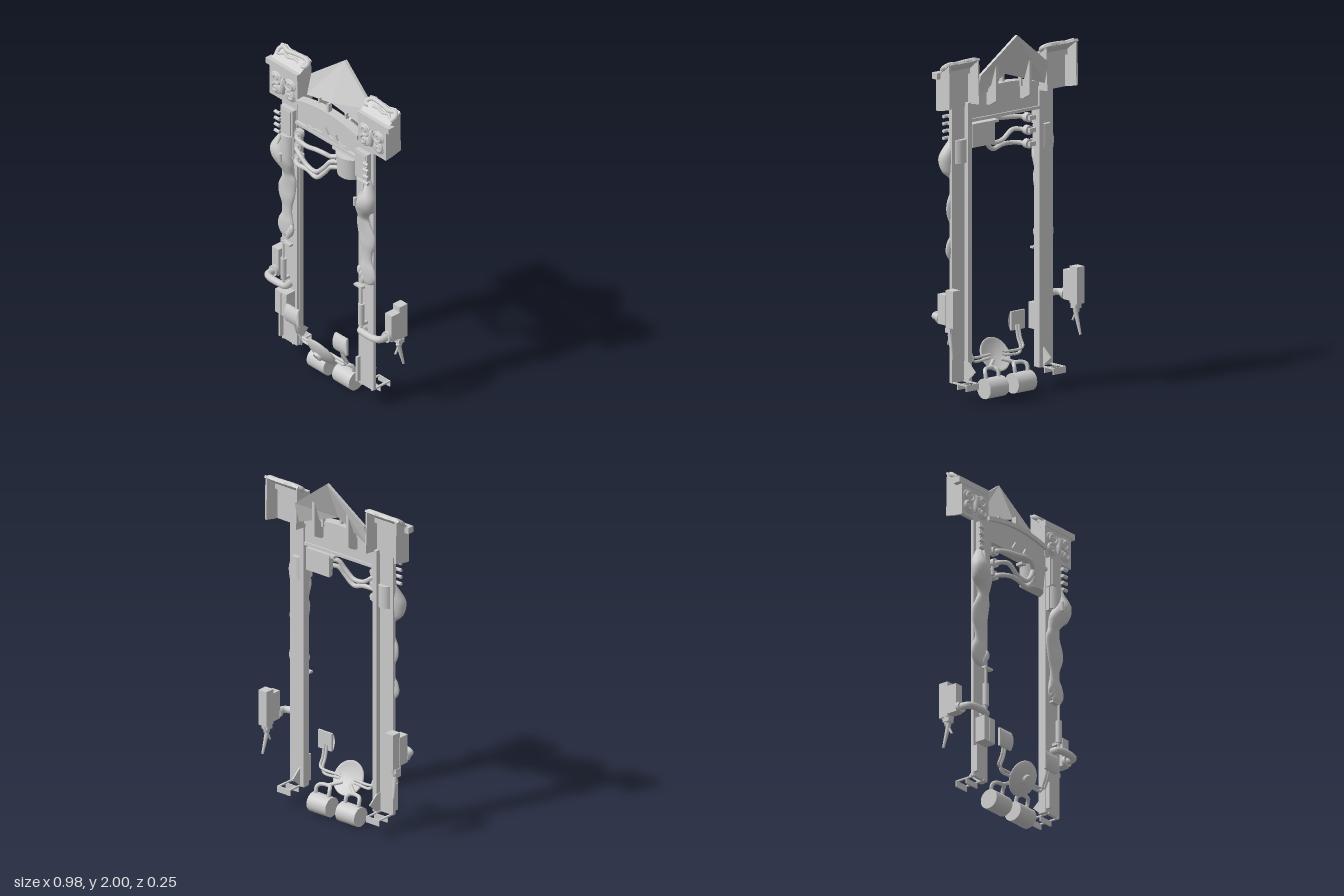
import * as THREE from 'three';

export function createModel() {
  const root = new THREE.Group();
  const mat = new THREE.MeshStandardMaterial({ color: 0xcccccc, side: THREE.DoubleSide });
  const V = (x, y, z) => new THREE.Vector3(x, y, z);

  const add = (name, geo, parent = root) => {
    const m = new THREE.Mesh(geo, mat);
    m.name = name;
    parent.add(m);
    return m;
  };
  // box from opposite corners, mirrored in x by s
  const box = (name, s, x0, x1, y0, y1, z0, z1, parent) => {
    const m = add(name, new THREE.BoxGeometry(x1 - x0, y1 - y0, z1 - z0), parent);
    m.position.set((s * (x0 + x1)) / 2, (y0 + y1) / 2, (z0 + z1) / 2);
    return m;
  };
  // cylinder between two points
  const rod = (name, a, b, r0, r1 = r0, sides = 16, parent) => {
    const m = add(name, new THREE.CylinderGeometry(r1, r0, a.distanceTo(b), sides), parent);
    m.position.copy(a).lerp(b, 0.5);
    m.quaternion.setFromUnitVectors(V(0, 1, 0), b.clone().sub(a).normalize());
    return m;
  };
  const tube = (name, pts, r, parent) =>
    add(name, new THREE.TubeGeometry(new THREE.CatmullRomCurve3(pts), pts.length * 6, r, 10), parent);
  const extrude = (name, pts, depth, parent) => add(name, new THREE.ExtrudeGeometry(
    new THREE.Shape(pts.map(p => new THREE.Vector2(...p))), { depth, bevelEnabled: false }), parent);
  // plate drawn in (z, y), with its thickness along x
  const sidePlate = (name, pts, x, t, parent) => {
    const m = extrude(name, pts.map(([z, y]) => [-z, y]), t, parent);
    m.rotation.y = Math.PI / 2;
    m.position.x = x - t / 2;
    return m;
  };
  // carved spiral scroll
  const scroll = (name, cx, cy, z, R, dir, start, r, parent) => {
    const pts = [];
    for (let i = 0; i <= 12; i++) {
      const a = start + dir * i * 0.6, q = R * (1 - i / 15);
      pts.push(V(cx + q * Math.cos(a), cy + q * Math.sin(a), z));
    }
    return tube(name, pts, r, parent);
  };
  const blob = (name, x, y, z, sx, sy, sz, parent) => {
    const m = add(name, new THREE.SphereGeometry(1, 20, 12), parent);
    m.position.set(x, y, z);
    m.scale.set(sx, sy, sz);
    return m;
  };

  // muscular carved relief: rows of [y, inner x, outer x, front z]
  const rows = [[1.465, .325, .338, .05], [1.41, .315, .375, .08], [1.355, .295, .402, .105], [1.31, .27, .402, .105],
    [1.27, .256, .388, .09], [1.235, .258, .35, .075], [1.2, .258, .335, .06], [1.164, .245, .35, .055],
    [1.1, .25, .381, .05], [1.04, .262, .38, .05], [.979, .28, .358, .045], [.926, .28, .357, .045],
    [.88, .268, .38, .05], [.83, .264, .387, .05], [.79, .285, .365, .045], [.772, .315, .335, .025]];
  const carving = s => {
    const inner = new THREE.CatmullRomCurve3(rows.map(r => V(r[1], r[0], r[3])));
    const outer = new THREE.CatmullRomCurve3(rows.map(r => V(r[2], r[0], r[3])));
    const n = 60, k = 20, zb = 0.012, pos = [], idx = [];
    for (let i = 0; i <= n; i++) {
      const a = inner.getPoint(i / n), b = outer.getPoint(i / n);
      for (let j = 0; j < k; j++) {
        const t = (j / k) * Math.PI * 2;
        pos.push(s * (a.x + b.x) / 2 + Math.abs(b.x - a.x) / 2 * Math.cos(t), (a.y + b.y) / 2,
          (a.z + zb) / 2 + (a.z - zb) / 2 * Math.sin(t));
        if (i < n) {
          const p = i * k + j, q = i * k + (j + 1) % k;
          idx.push(p, q, p + k, q, q + k, p + k);
        }
      }
    }
    const g = new THREE.BufferGeometry();
    g.setAttribute('position', new THREE.Float32BufferAttribute(pos, 3));
    g.setIndex(idx);
    g.computeVertexNormals();
    return g;
  };

  for (const s of [1, -1]) {
    const side = new THREE.Group();
    side.name = s > 0 ? 'leftPost' : 'rightPost';
    root.add(side);
    const P = (x, y, z) => V(s * x, y, z);

    // post: front plate with a rib along its inner edge, and open foot bracket
    box('postPlate', s, .245, .365, .11, 1.83, .008, .026, side);
    box('postRib', s, .243, .272, .11, 1.65, -.02, .01, side);
    sidePlate('footGusset', [[.01, .22], [-.02, .22], [-.08, .17], [-.02, .115], [.01, .115]], s * .272, .008, side);
    for (const x of [.268, .348]) box('footArm', s, x, x + .012, .108, .116, -.1, .03, side);
    box('footLip', s, .268, .36, .08, .116, -.104, -.098, side);
    box('footBlock', s, .268, .36, .08, .11, -.035, -.028, side);

    // upper panel, knobs and carving
    box('upperPanel', s, .25, .345, 1.45, 1.62, .02, .055, side);
    box('panelFrame', s, .262, .333, 1.46, 1.61, .05, .06, side);
    rod('collar', P(.302, 1.32, .03), P(.302, 1.45, .03), .046, .046, 24, side);
    box('collarBack', s, .25, .352, 1.31, 1.445, .02, .045, side);
    for (let i = 0; i < 4; i++) {
      rod('sideKnob', P(.335, 1.575 - i * .04, .07), P(.372, 1.575 - i * .04, .07), .01, .01, 12, side);
      box('knobBase', s, .335, .345, 1.567 - i * .04, 1.583 - i * .04, .05, .072, side);
    }
    add('carving', carving(s), side);
    rod('strap', P(.35, 1.33, .1), P(.325, 1.45, .065), .008, .008, 8, side);
    rod('hexStud', P(.297, 1.3, .1), P(.297, 1.35, .1), .011, .011, 6, side);
    for (let i = 0; i < 3; i++) blob('toe', s * (.27 + i * .014), .85 - i * .022, .042, .016, .028, .012, side);

    // capital: open-backed shell under a sloping roof
    box('capitalFront', s, .24, .463, 1.63, 1.81, .006, .026, side);
    box('cornice', s, .24, .49, 1.81, 1.845, -.012, .03, side);
    sidePlate('capitalOuterWall', [[.02, 1.63], [.02, 1.82], [0, 1.845], [-.08, 1.9], [-.085, 1.65], [-.02, 1.635]], s * .457, .012, side);
    sidePlate('capitalInnerWall', [[.01, 1.64], [.01, 1.82], [-.075, 1.89], [-.085, 1.65]], s * .247, .01, side);
    const roof = new THREE.Group();
    roof.name = 'capitalRoof';
    roof.position.set(s * .355, 1.838, .005);
    roof.rotation.x = -.92;
    side.add(roof);
    extrude('roofSlab', [[-.115, 0], [.115, 0], [.115, .06], [.118, .1], [.08, .108], [.035, .098], [0, .101],
      [-.035, .098], [-.08, .108], [-.118, .1], [-.115, .06]], .014, roof).position.z = -.008;
    // drapery roll ending in a curl at the inner corner
    tube('roofRoll', [[.1, .03], [.108, .065], [.09, .088], [.05, .078], [0, .085], [-.05, .09], [-.095, .088], [-.116, .066],
      [-.106, .046], [-.09, .052]].map(p => V(s * p[0], p[1], .004)), .014, roof);
    tube('roofVine', [[.09, .04], [.06, .058], [.02, .05], [-.02, .06], [-.06, .055]].map(p => V(s * p[0], p[1], .004)), .009, roof);
    // mirrored leaf scrolls on the capital face
    for (const m of [1, -1]) {
      const cx = s * .352;
      scroll('faceScroll', cx + m * .052, 1.755, .03, .038, m, m > 0 ? 2.6 : .54, .01, side);
      scroll('faceScroll', cx + m * .058, 1.69, .03, .032, -m, m > 0 ? 2.2 : .94, .01, side);
      blob('faceLeaf', cx + m * .055, 1.755, .025, .044, .036, .011, side);
      blob('faceLeaf', cx + m * .055, 1.685, .025, .044, .034, .011, side);
    }
    blob('faceBud', s * .352, 1.725, .03, .016, .055, .018, side);

    // lever, exhaust pipe and hanging box
    rod('leverRod', P(.31, .5, .065), P(.31, .77, .065), .006, .006, 10, side);
    rod('leverSleeve', P(.31, .53, .065), P(.31, .66, .065), .017, .017, 16, side);
    box('leverArm', s, .255, .318, .755, .767, .045, .07, side);
    box('leverStay', s, .3, .32, .52, .535, .02, .07, side);
    tube('elbowPipe', [P(.3, .485, .02), P(.3, .485, .06), P(.33, .488, .07), P(.42, .488, .068), P(.447, .488, .05), P(.45, .488, -.02)], .02, side);
    rod('pipeFlange', P(.45, .488, .015), P(.45, .488, -.005), .032, .032, 20, side);
    box('hangingBox', s, .42, .475, .45, .655, -.123, -.065, side);
    box('boxFront', s, .425, .478, .46, .625, -.068, -.004, side);
    rod('boxNozzle', P(.452, .45, -.085), P(.452, .4, -.085), .022, .015, 16, side);
    box('nozzleLug', s, .43, .475, .42, .445, -.1, -.06, side);
    rod('nozzleTail', P(.452, .41, -.075), P(.462, .275, -.105), .014, .007, 10, side);
    rod('nozzleSpur', P(.455, .41, -.085), P(.45, .35, -.055), .008, .006, 8, side);

    // fin and strut behind the gable
    sidePlate('rearFin', [[-.005, 1.62], [-.03, 1.62], [-.085, 1.65], [-.085, 1.85], [-.045, 1.735], [-.005, 1.69]], s * .12, .016);
    box('gableStrut', s, .1, .112, 1.69, 1.75, -.03, -.005);

    // curved pedal on its twin-pipe arm
    const curve = new THREE.CylinderGeometry(.09, .09, .095, 16, 1, true, -.62, 1.24).rotateZ(Math.PI / 2);
    add('pedal', curve).position.set(s * .193, .362, .035);
    box('pedalBack', s, .145, .241, .31, .415, .096, .108);
    for (const d of [-.009, .009]) tube('pedalArm', [P(.185 + d, .34, .095), P(.185 + d, .27, .08), P(.185 + d, .225, .06), P(.165, .205 + d, .055), P(.05, .205 + d, .055)], .008);

    // lower drum and its hoop
    rod('drum', P(.035, .056, -.03), P(.168, .056, -.03), .056, .056, 32);
    tube('drumHoop', [P(.15, .1, -.03), P(.15, .145, -.02), P(.135, .157, -.005), P(.075, .157, 0), P(.06, .145, -.02), P(.06, .1, -.03)], .011);
    rod('hoopLink', P(.1, .157, 0), P(.03, .18, .05), .01);
  }

  // gable: two folded halves leaning backwards
  for (const s of [1, -1]) {
    const m = extrude('gable', [[0, 1.77], [s * .245, 1.69], [s * .245, 1.81], [0, 2]], .018);
    const p = m.geometry.attributes.position;
    for (let i = 0; i < p.count; i++) {
      const y = p.getY(i);
      const lean = Math.abs(p.getX(i)) < .01 ? -.42 * (y - 1.77) : -.045 - .25 * (y - 1.69);
      p.setZ(i, p.getZ(i) - .018 + lean);
    }
    m.geometry.computeVertexNormals();
  }
  box('gablePost', 1, -.007, .007, 1.7, 1.775, 0, .028);

  // arched beam with moulding and relief
  const arch = (lo, hi) => {
    const top = [], bottom = [];
    for (let i = 0; i <= 16; i++) {
      const x = -.245 + i * .49 / 16, h = .035 * (1 - (x / .245) ** 2);
      top.push([x, hi + h]);
      bottom.unshift([x, lo === null ? 1.555 : lo + h]);
    }
    return top.concat(bottom);
  };
  extrude('archBeam', arch(null, 1.685), .03).position.z = -.008;
  extrude('archMoulding', arch(1.665, 1.69), .055).position.z = -.018;
  box('beamRail', 1, -.245, .245, 1.54, 1.557, -.018, .04);
  extrude('peakRelief', [[-.17, 1.557], [-.15, 1.57], [-.12, 1.562], [-.09, 1.575], [-.045, 1.572], [-.012, 1.62], [.012, 1.582],
    [.05, 1.572], [.07, 1.61], [.085, 1.578], [.12, 1.565], [.15, 1.572], [.17, 1.557]], .012).position.z = .022;

  // half-round tank under the beam with three hoses
  const tank = add('tank', new THREE.CylinderGeometry(.085, .075, .13, 24, 1, false, -Math.PI / 2, Math.PI));
  tank.scale.z = .85;
  tank.position.set(.15, 1.457, 0);
  box('tankBack', 1, .07, .235, 1.395, 1.525, -.012, .006);
  box('tankLip', 1, .04, .235, 1.51, 1.525, -.01, .03);
  // each hose: height at the flange, at two points of its sag, and at the tank
  [[1.49, 1.497, 1.51, 1.505], [1.42, 1.375, 1.37, 1.47], [1.345, 1.35, 1.335, 1.435]].forEach(([y0, y1, y2, y3], i) => {
    rod('hoseFlange', V(-.21, y0, .025), V(-.21, y0, .055), .026, .026, 20);
    tube('hose', [V(-.21, y0, .03), V(-.2, y0, .07), V(-.155, y0 + .003, .09 + i * .006), V(-.08, y1, .1),
      V(-.01, y2, .1), V(.045, (y2 + y3) / 2, .09), V(.075, y3 - .008, .075), V(.11, y3, .055)], .013);
    box('hoseMount', 1, -.25, -.2, y0 - .012, y0 + .012, .01, .03);
  });

  // tilted central disc with hub
  const disc = new THREE.Group();
  disc.name = 'disc';
  disc.position.set(0, .205, .07);
  disc.rotation.x = .53;
  root.add(disc);
  const dish = add('dish', new THREE.LatheGeometry([[0, .03], [.035, .028], [.075, .016], [.097, .004], [.1, -.004], [.094, -.01], [.085, -.002], [.04, .012], [0, .014]]
    .map(p => new THREE.Vector2(...p)), 40), disc);
  dish.rotation.x = Math.PI / 2;
  rod('hub', V(0, 0, .02), V(0, 0, .042), .034, .026, 24, disc);

  // single-sided fittings
  box('controlBox', -1, .26, .35, .31, .455, .02, .09);
  box('controlBoxRib', -1, .3, .308, .315, .45, .088, .094);
  box('slotRail', -1, .352, .364, .13, .285, .02, .05);
  box('slotRail', 1, .25, .262, .13, .285, .02, .05);
  return root;
}
